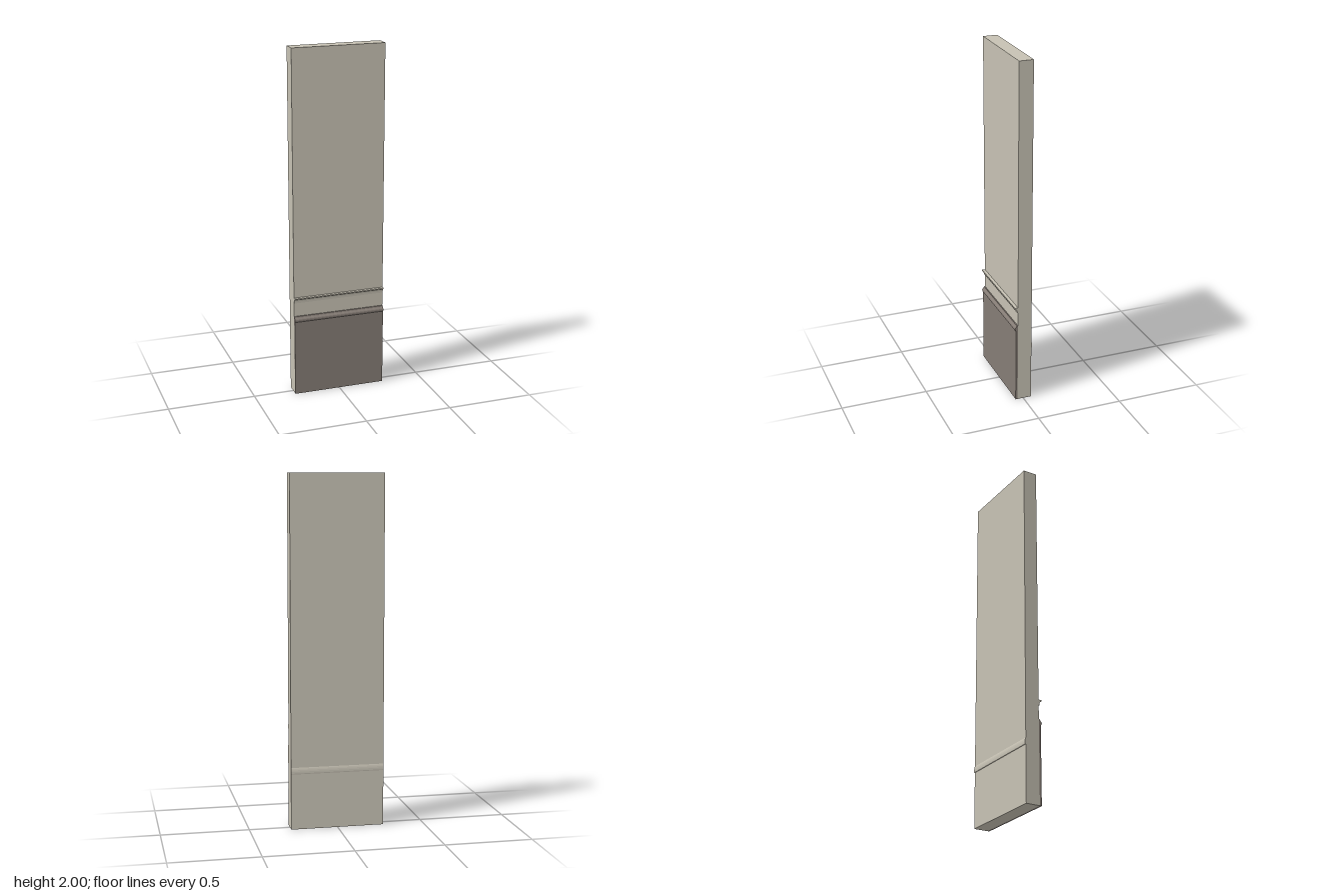
import * as THREE from 'three';

const WIDTH = 0.534;

export function createModel() {
  const group = new THREE.Group();
  const plaster = new THREE.MeshStandardMaterial({ color: 0xc6c1b3 });
  plaster.name = 'warm plaster';
  const panelPaint = new THREE.MeshStandardMaterial({ color: 0x857c75 });
  panelPaint.name = 'taupe panel';

  const addSlab = (name, y0, y1, z0, z1, material) => {
    const mesh = new THREE.Mesh(new THREE.BoxGeometry(WIDTH, y1 - y0, z1 - z0), material);
    mesh.position.set(0, (y0 + y1) / 2, (z0 + z1) / 2);
    mesh.name = name;
    group.add(mesh);
  };

  // Sweep a [z, y] profile across the full width
  const addMoulding = (name, profile, material) => {
    const shape = new THREE.Shape(profile.map(([z, y]) => new THREE.Vector2(-z, y)));
    const geometry = new THREE.ExtrudeGeometry(shape, { depth: WIDTH, bevelEnabled: false });
    geometry.translate(0, 0, -WIDTH / 2).rotateY(Math.PI / 2);
    // extrusion axis is now x and the shape's -x is +z
    const mesh = new THREE.Mesh(geometry, material);
    mesh.name = name;
    group.add(mesh);
  };

  // Wall section and the wainscot panel on its front
  addSlab('wall', 0, 2, -0.048, 0.034, plaster);
  addSlab('wainscotPanel', 0, 0.45, 0.034, 0.046, panelPaint);

  // Rounded cap along the top of the panel
  addMoulding('panelCap', [
    [0.034, 0.443], [0.048, 0.443], [0.051, 0.447], [0.052, 0.453],
    [0.051, 0.459], [0.047, 0.464], [0.043, 0.467], [0.040, 0.475], [0.034, 0.475],
  ], panelPaint);

  // Picture rail: thin lip on top, cove below
  addMoulding('pictureRail', [
    [0.034, 0.555], [0.038, 0.555], [0.039, 0.566], [0.042, 0.574],
    [0.047, 0.579], [0.052, 0.580], [0.052, 0.587], [0.034, 0.587],
  ], plaster);

  // Rounded rail across the back
  addMoulding('backRail', [
    [-0.048, 0.32], [-0.052, 0.32], [-0.053, 0.325], [-0.053, 0.335],
    [-0.052, 0.344], [-0.050, 0.352], [-0.048, 0.357],
  ], plaster);

  return group;
}
